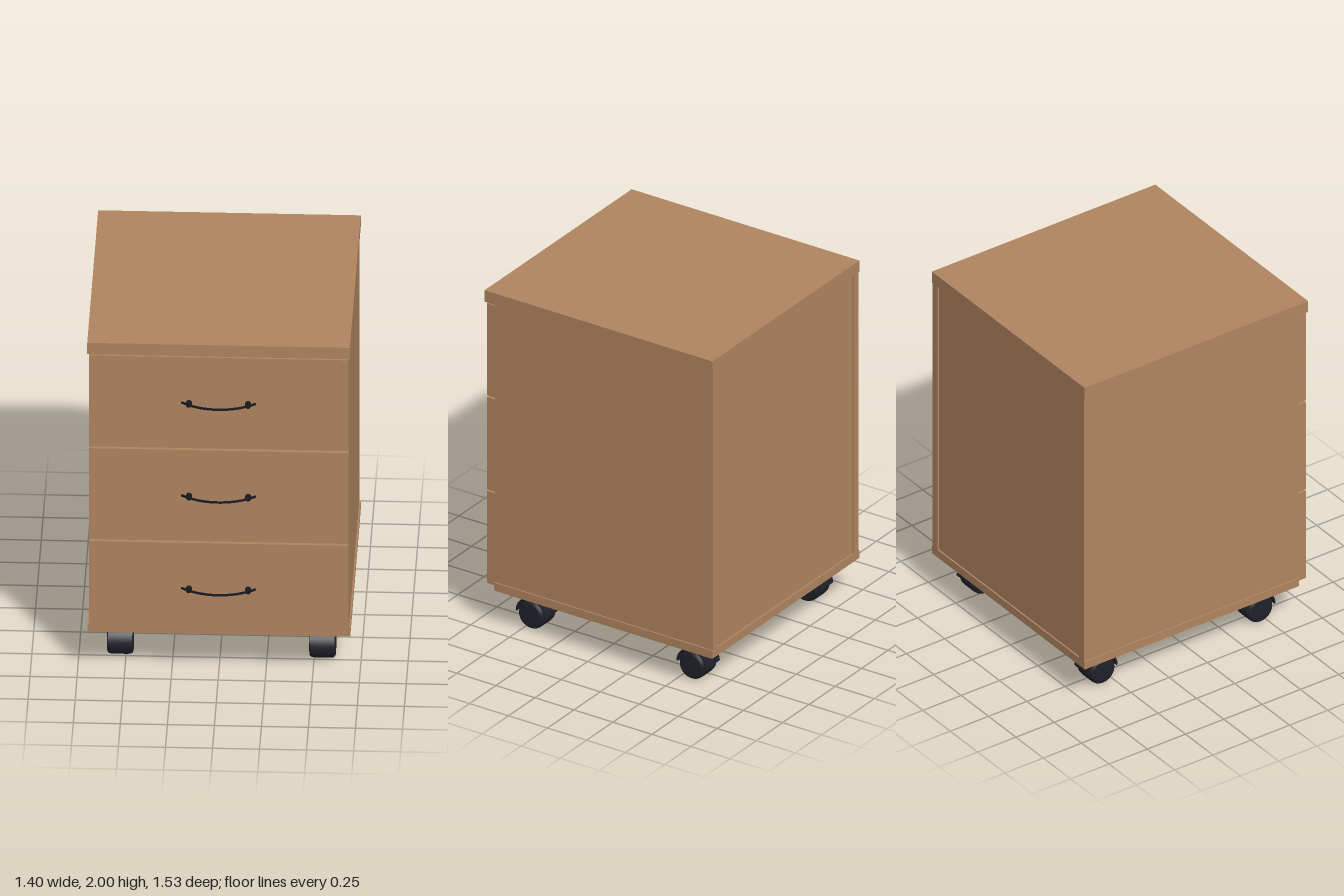
import * as THREE from 'three';

const wood = new THREE.MeshStandardMaterial({ color: 0xb08560 });
wood.name = 'wood';
const black = new THREE.MeshStandardMaterial({ color: 0x171a22 });
black.name = 'blackMetal';
const rubber = new THREE.MeshStandardMaterial({ color: 0x20202a });
rubber.name = 'wheelPlastic';

function add(parent, name, geometry, material, x = 0, y = 0, z = 0) {
  const mesh = new THREE.Mesh(geometry, material);
  mesh.name = name;
  mesh.position.set(x, y, z);
  parent.add(mesh);
  return mesh;
}

// Box given by its minimum and maximum corners
function board(parent, name, [x0, y0, z0], [x1, y1, z1], material = wood) {
  return add(parent, name, new THREE.BoxGeometry(x1 - x0, y1 - y0, z1 - z0), material,
    (x0 + x1) / 2, (y0 + y1) / 2, (z0 + z1) / 2);
}

// Flat ring sector in the XY plane, extruded by depth and centred on z
function arcBand(inner, outer, start, end, depth) {
  const shape = new THREE.Shape();
  shape.absarc(0, 0, outer, start, end, false);
  shape.absarc(0, 0, inner, end, start, true);
  const geometry = new THREE.ExtrudeGeometry(shape, { depth, bevelEnabled: false, curveSegments: 24 });
  return geometry.translate(0, 0, -depth / 2);
}

// Bow handle on two short posts, its mounting face at z = 0
function makeHandle() {
  const handle = new THREE.Group();
  handle.name = 'handle';
  const half = Math.asin(0.2 / 0.304);
  const bow = arcBand(0.295, 0.304, Math.PI / 2 - half, Math.PI / 2 + half, 0.01);
  bow.rotateX(Math.PI / 2);
  add(handle, 'handleBow', bow, black, 0, 0, -0.226);
  for (const x of [-0.157, 0.157]) {
    const post = new THREE.CylinderGeometry(0.016, 0.016, 0.03, 16).rotateX(Math.PI / 2);
    add(handle, 'handlePost', post, black, x, 0, 0.014);
  }
  return handle;
}

// Caster, wheel axle at the group's x and z
function makeCaster() {
  const caster = new THREE.Group();
  caster.name = 'caster';
  const profile = [[0, -0.07], [0.062, -0.07], [0.073, -0.066], [0.079, -0.056], [0.081, -0.04],
    [0.081, 0.04], [0.079, 0.056], [0.073, 0.066], [0.062, 0.07], [0, 0.07]];
  const wheel = new THREE.LatheGeometry(profile.map(([r, y]) => new THREE.Vector2(r, y)), 32);
  wheel.rotateZ(Math.PI / 2);
  add(caster, 'wheel', wheel, rubber, 0, 0.081, 0);
  const hood = arcBand(0.086, 0.095, 0, Math.PI, 0.13).rotateY(Math.PI / 2);
  add(caster, 'hood', hood, rubber, 0, 0.086, 0);
  add(caster, 'stem', new THREE.CylinderGeometry(0.017, 0.017, 0.06, 16), black, 0, 0.178, -0.033);
  board(caster, 'mountPlate', [-0.065, 0.204, -0.098], [0.065, 0.217, 0.032], black);
  return caster;
}

export function createModel() {
  const model = new THREE.Group();
  model.name = 'drawerCabinet';

  // Carcass
  board(model, 'topBoard', [-0.698, 1.931, -0.764], [0.698, 2, 0.695]);
  board(model, 'bottomBoard', [-0.698, 0.217, -0.764], [0.698, 0.265, 0.635]);
  board(model, 'rightSide', [-0.69, 0.265, -0.764], [-0.645, 1.931, 0.635]);
  board(model, 'leftSide', [0.645, 0.265, -0.764], [0.69, 1.931, 0.635]);
  board(model, 'backPanel', [-0.645, 0.265, -0.755], [0.645, 1.931, -0.73]);

  // Drawers with handles
  for (let i = 0; i < 3; i++) {
    const y = 0.244 + i * 0.5625;
    const drawer = new THREE.Group();
    drawer.name = 'drawer';
    board(drawer, 'drawerFront', [-0.688, y, 0.635], [0.688, y + 0.551, 0.688]);
    board(drawer, 'drawerBox', [-0.63, y + 0.04, -0.7], [0.63, y + 0.5, 0.635]);
    const handle = makeHandle();
    handle.position.set(0, y + 0.277, 0.688);
    drawer.add(handle);
    model.add(drawer);
  }

  // Casters
  for (const x of [-0.53, 0.545]) {
    for (const z of [0.46, -0.57]) {
      const caster = makeCaster();
      caster.position.set(x, 0, z);
      model.add(caster);
    }
  }
  return model;
}
